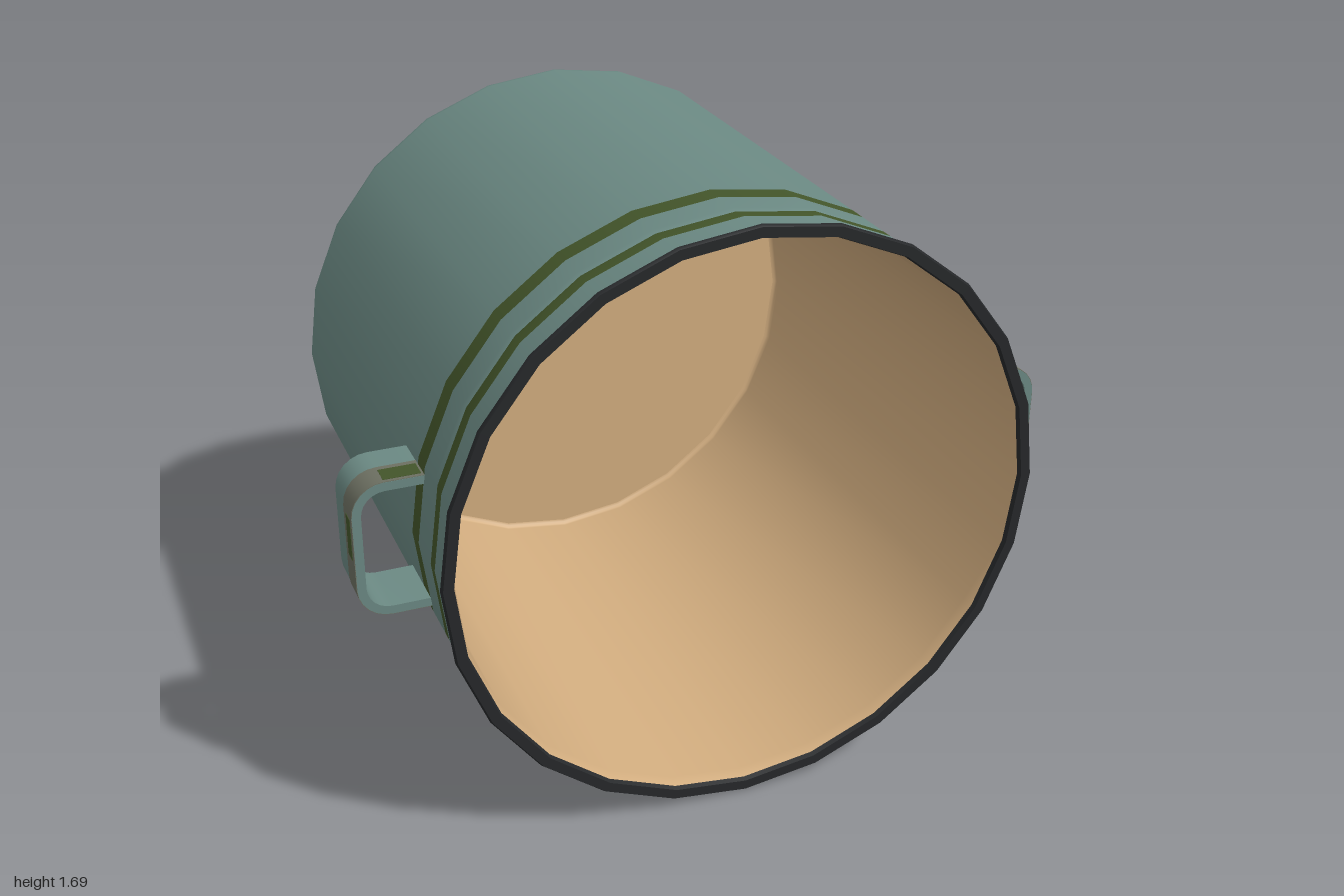
import * as THREE from 'three';
import { toCreasedNormals } from 'three/addons/utils/BufferGeometryUtils.js';

const SIDES = 24;
const CENTRE_Y = 0.845;

function material(name, color) {
  const m = new THREE.MeshStandardMaterial({ color });
  m.name = name;
  return m;
}

function part(name, geometry, mat) {
  const mesh = new THREE.Mesh(geometry, mat);
  mesh.name = name;
  return mesh;
}

// Revolved part: profile of [radius, z], turned so its axis runs along z
function turned(name, profile, mat) {
  const points = profile.map(([r, z]) => new THREE.Vector2(r, z));
  return part(name, new THREE.LatheGeometry(points, SIDES).rotateX(Math.PI / 2), mat);
}

// Points of a rounded corner, from the side wall towards the base
function corner(radius, z, r, steps = 5) {
  return Array.from({ length: steps + 1 }, (_, i) => {
    const a = (i / steps) * Math.PI / 2;
    return [radius - r + r * Math.cos(a), z + r - r * Math.sin(a)];
  });
}

// U-shaped line with rounded corners, pushed outwards by d
function handlePath(d) {
  const x = 0.99 + d, h = 0.185 + d, r = 0.08 + d;
  const points = [new THREE.Vector2(0.8, -h)];
  for (const end of [-1, 1]) {
    for (let i = 0; i <= 6; i++) {
      const a = ((end < 0 ? i - 6 : i) / 6) * Math.PI / 2;
      points.push(new THREE.Vector2(x - r + r * Math.cos(a), end * (h - r) + r * Math.sin(a)));
    }
  }
  points.push(new THREE.Vector2(0.8, h));
  return points;
}

// Strip between two such lines, extruded along z
function strip(inset, outset, z0, z1) {
  const shape = new THREE.Shape([...handlePath(outset), ...handlePath(inset).reverse()]);
  const g = new THREE.ExtrudeGeometry(shape, { depth: z1 - z0, bevelEnabled: false });
  return toCreasedNormals(g.translate(0, 0, z0), 0.6);
}

export function createModel() {
  const model = new THREE.Group();
  model.name = 'pot';
  const teal = material('teal enamel', 0x6b8983);
  const olive = material('olive stripe', 0x43552a);
  const tan = material('tan lining', 0xd2ad7f);
  const dark = material('dark rim', 0x26282a);
  const grey = material('grey grip', 0x6d7062);

  const pot = new THREE.Group();
  pot.name = 'vessel';
  pot.position.y = CENTRE_Y;
  model.add(pot);

  // Outer wall, in bands along the axis with a shallow groove before the front stripe
  const R = 0.83;
  pot.add(
    turned('base', [[0, -0.784], [0.77, -0.784]], teal),
    turned('wall', [...corner(R, -0.784, 0.06).reverse(), [R, 0.466]], teal),
    turned('rearStripe', [[R, 0.466], [R, 0.526]], olive),
    turned('middleWall', [[R, 0.526], [R, 0.61], [0.825, 0.626]], teal),
    turned('frontStripe', [[0.825, 0.626], [R, 0.64], [R, 0.676]], olive),
    turned('neck', [[R, 0.676], [R, 0.77]], teal),
  );

  // Rolled dark lip
  pot.add(
    turned('lipBack', [[0.825, 0.767], [0.84, 0.767]], dark),
    turned('lipEdge', [[0.84, 0.767], [0.845, 0.776], [0.84, 0.786]], dark),
    turned('lipFront', [[0.84, 0.786], [0.812, 0.786]], dark),
    turned('lipInside', [[0.812, 0.786], [0.808, 0.772]], dark),
  );

  // Inside lining and floor
  pot.add(
    turned('lining', [[0.808, 0.772], [0.8, 0.74], ...corner(0.795, -0.74, 0.015, 3)], tan),
    turned('floor', [[0.78, -0.74], [0, -0.74]], tan),
  );

  // Side handles: a strap, a grip skin on its front half and olive patches
  for (const [name, turn] of [['leftHandle', 0], ['rightHandle', Math.PI]]) {
    const handle = new THREE.Group();
    handle.name = name;
    handle.rotation.z = turn;
    handle.add(
      part('strap', strip(-0.015, 0.009, 0.352, 0.53), teal),
      part('grip', strip(0.006, 0.0105, 0.444, 0.529), grey),
    );
    const patch = part('outerPatch', new THREE.BoxGeometry(0.004, 0.12, 0.042), olive);
    patch.position.set(0.9995, Math.cos(turn) * 0.035, 0.49);
    handle.add(patch);
    for (const y of [-0.1945, 0.1945]) {
      const endPatch = part('endPatch', new THREE.BoxGeometry(0.1, 0.004, 0.056), olive);
      endPatch.position.set(0.86, y, 0.49);
      handle.add(endPatch);
    }
    pot.add(handle);
  }
  return model;
}
